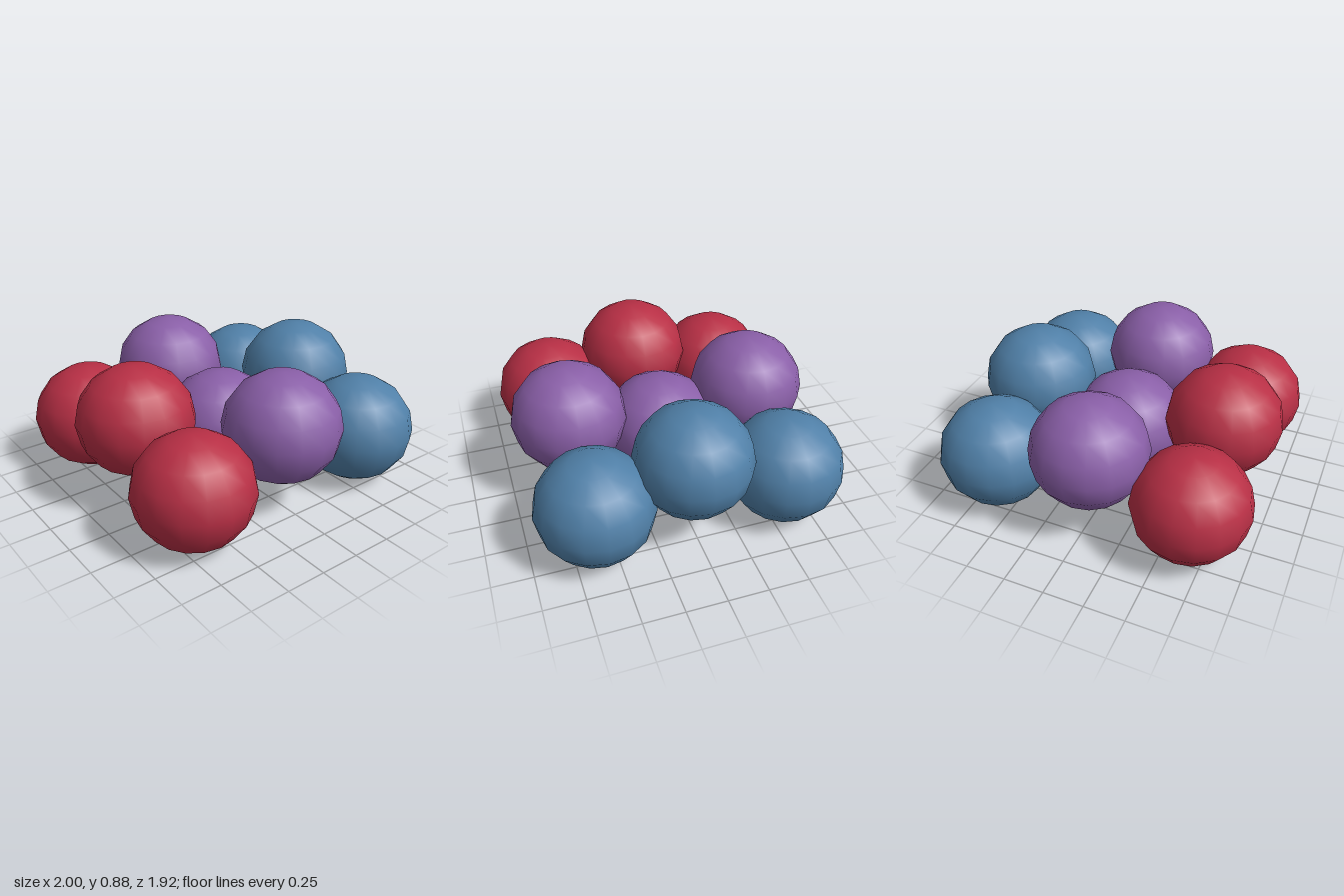
import * as THREE from 'three';

// Three by three grid of slightly flattened balls, alternating low and high
export function createModel() {
  const group = new THREE.Group();
  const ball = new THREE.SphereGeometry(1, 16, 8);
  ball.scale(0.364, 0.342, 0.362);

  const columns = [
    { name: 'right', x: -0.636, color: 0xb82f45 },
    { name: 'middle', x: 0, color: 0x8a5fa8 },
    { name: 'left', x: 0.636, color: 0x5080a8 },
  ];
  const rows = [
    { name: 'Back', z: -0.596 },
    { name: 'Centre', z: 0 },
    { name: 'Front', z: 0.596 },
  ];

  columns.forEach((column, i) => {
    const material = new THREE.MeshStandardMaterial({ color: column.color });
    rows.forEach((row, j) => {
      const mesh = new THREE.Mesh(ball, material);
      mesh.name = `${column.name}${row.name}Ball`;
      // Corners and centre sit on the ground, the side balls are raised
      const raised = (i + j) % 2 === 1;
      mesh.position.set(column.x, raised ? 0.54 : 0.342, row.z);
      group.add(mesh);
    });
  });
  return group;
}
